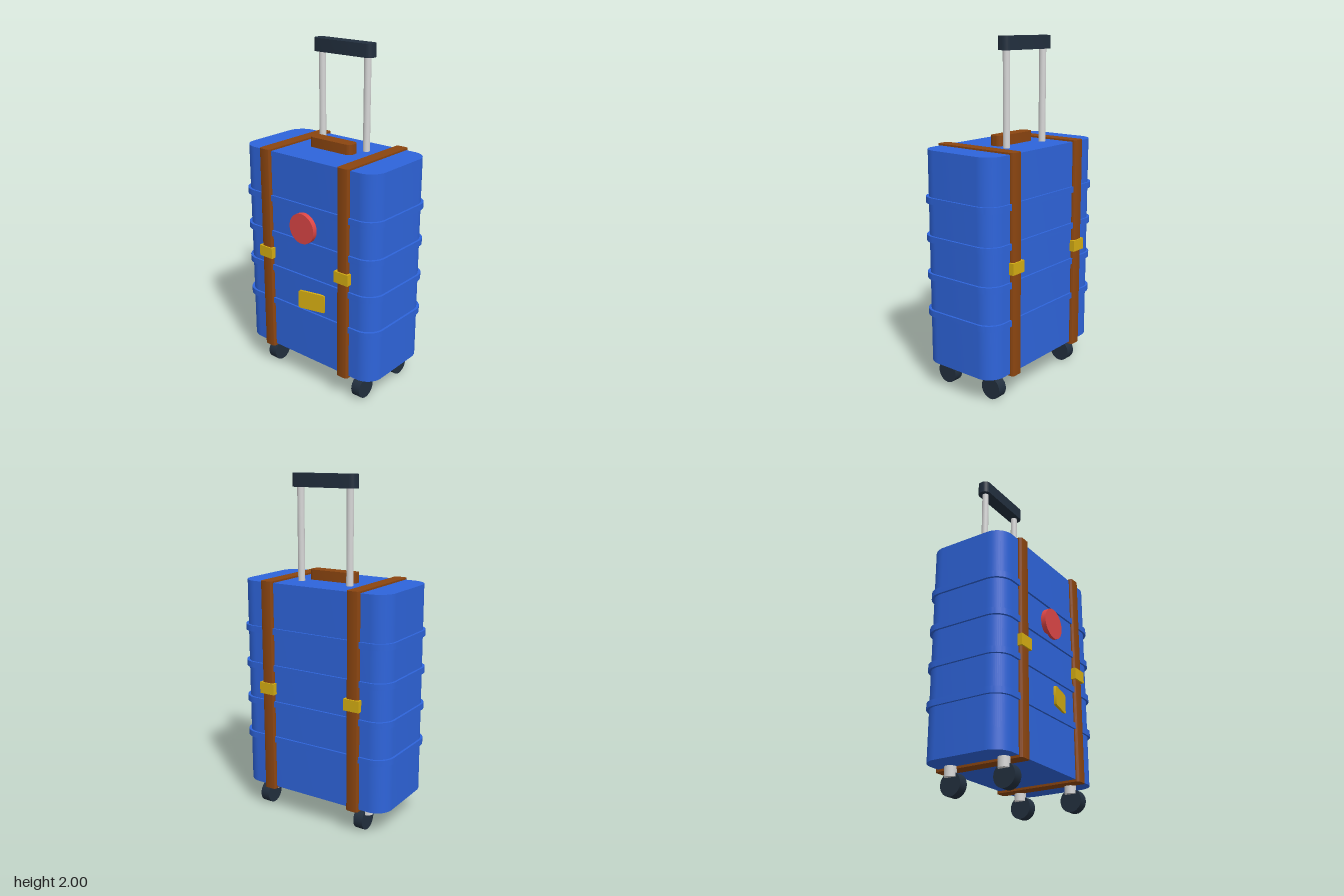
import * as THREE from 'three';
import { toCreasedNormals } from 'three/addons/utils/BufferGeometryUtils.js';

const material = (name, color) => {
  const m = new THREE.MeshStandardMaterial({ color });
  m.name = name;
  return m;
};

// Upright slab with rounded vertical edges, standing on y = 0
function roundedSlab(width, height, depth, radius, segments = 8) {
  const x = width / 2, y = depth / 2, r = radius;
  const s = new THREE.Shape();
  s.moveTo(-x + r, -y);
  s.lineTo(x - r, -y);
  s.absarc(x - r, -y + r, r, -Math.PI / 2, 0);
  s.lineTo(x, y - r);
  s.absarc(x - r, y - r, r, 0, Math.PI / 2);
  s.lineTo(-x + r, y);
  s.absarc(-x + r, y - r, r, Math.PI / 2, Math.PI);
  s.lineTo(-x, -y + r);
  s.absarc(-x + r, -y + r, r, Math.PI, Math.PI * 1.5);
  const g = new THREE.ExtrudeGeometry(s, { depth: height, bevelEnabled: false, curveSegments: segments });
  g.rotateX(-Math.PI / 2);
  return toCreasedNormals(g, 0.6);
}

export function createModel() {
  const shell = material('blue shell', 0x2e64da);
  const leather = material('brown leather', 0x8b4510);
  const brass = material('brass', 0xd4ac12);
  const metal = material('silver metal', 0xd6d6d6);
  const rubber = material('dark rubber', 0x222f3e);
  const red = material('red sticker', 0xdc4646);

  const suitcase = new THREE.Group();
  suitcase.name = 'suitcase';
  const add = (name, geometry, mat, x, y, z) => {
    const mesh = new THREE.Mesh(geometry, mat);
    mesh.name = name;
    mesh.position.set(x, y, z);
    suitcase.add(mesh);
    return mesh;
  };
  const midZ = -0.012;

  // Shell and its four ribs
  add('body', roundedSlab(0.968, 1.241, 0.506, 0.1), shell, 0, 0.156, midZ);
  const rib = roundedSlab(0.994, 0.036, 0.53, 0.105);
  for (let i = 0; i < 4; i++) add('rib', rib, shell, 0, 0.442 + i * 0.219, midZ);

  // Straps with a buckle front and back
  const strap = roundedSlab(0.077, 1.264, 0.548, 0.016, 4);
  const buckle = new THREE.BoxGeometry(0.098, 0.067, 0.04);
  for (const side of [-1, 1]) {
    add('strap', strap, leather, side * 0.287, 0.143, midZ);
    for (const face of [-1, 1])
      add('buckle', buckle, brass, side * 0.287, 0.775, midZ + face * 0.263);
  }

  // Carry handle and telescopic handle
  add('carryHandle', roundedSlab(0.303, 0.062, 0.08, 0.03), leather, 0, 1.394, -0.01);
  add('grip', roundedSlab(0.413, 0.075, 0.078, 0.035), rubber, 0, 1.925, -0.107);
  const rod = new THREE.CylinderGeometry(0.02, 0.02, 0.56, 20);
  for (const side of [-1, 1]) add('handleRod', rod, metal, side * 0.162, 1.66, -0.107);

  // Round sticker and tilted luggage tag
  const sticker = add('sticker', new THREE.CylinderGeometry(0.09, 0.09, 0.03, 32), red, 0, 0.995, 0.255);
  sticker.rotation.x = Math.PI / 2;
  const tagGeometry = roundedSlab(0.172, 0.014, 0.11, 0.012, 4);
  tagGeometry.rotateX(Math.PI / 2);
  const tag = add('luggageTag', tagGeometry, brass, 0.064, 0.558, 0.252);
  tag.rotation.y = 0.22;

  // Casters: each wheel sits beside its swivel stem
  const stem = new THREE.CylinderGeometry(0.033, 0.033, 0.06, 20);
  const wheel = new THREE.CylinderGeometry(0.065, 0.065, 0.058, 24);
  wheel.rotateZ(Math.PI / 2);
  for (const side of [-1, 1])
    for (const z of [0.159, -0.175]) {
      add('casterStem', stem, metal, side * 0.333, 0.13, z);
      add('wheel', wheel, rubber, side * 0.333 + 0.029, 0.065, z);
    }

  return suitcase;
}
